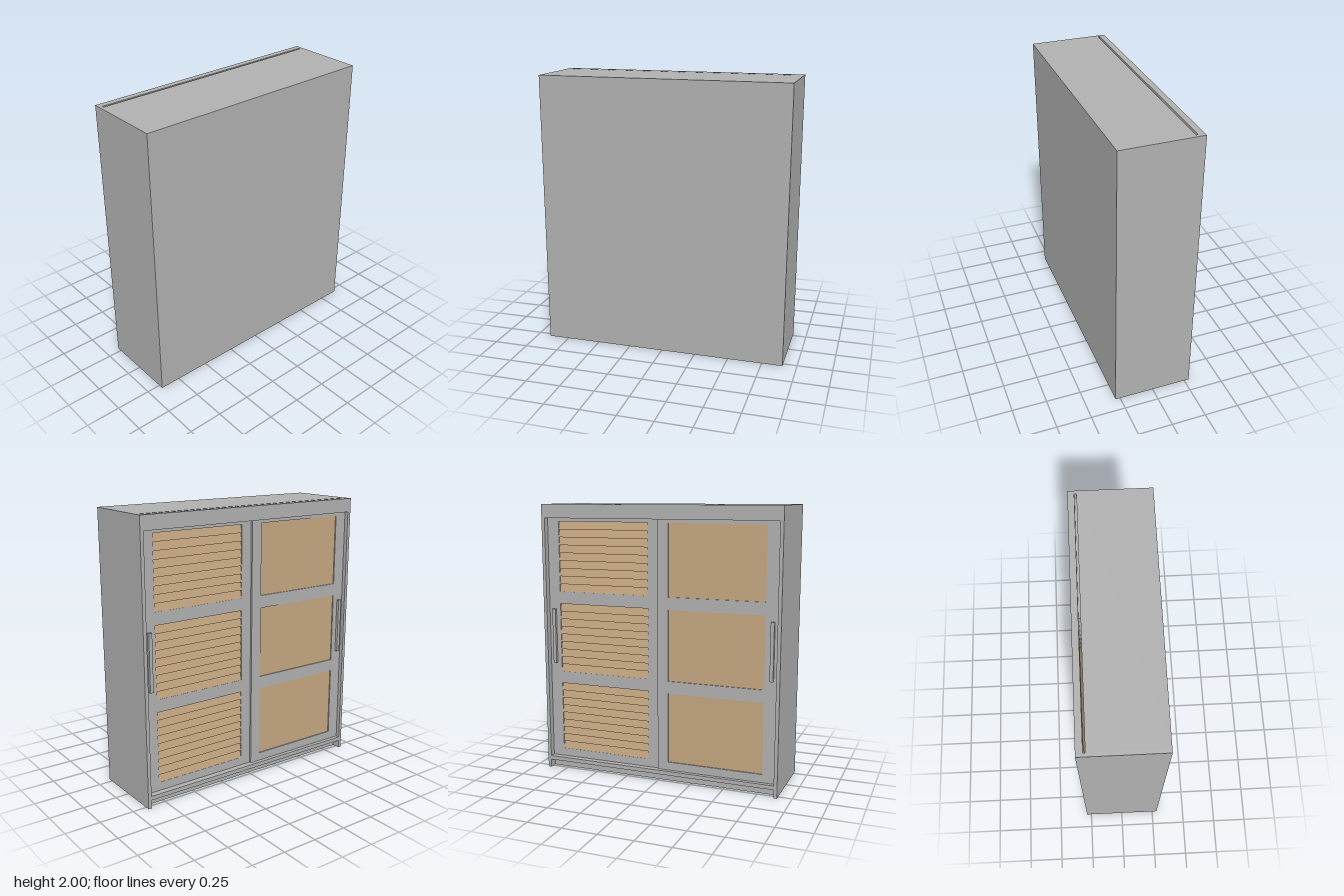
import * as THREE from 'three';

export function createModel() {
  const group = new THREE.Group();
  const grey = new THREE.MeshStandardMaterial({ color: 0xb0b0b0 });
  grey.name = 'grey';
  const wood = new THREE.MeshStandardMaterial({ color: 0xc4a680 });
  wood.name = 'wood';

  const add = (name, geo, mat, parent = group) => {
    const mesh = new THREE.Mesh(geo, mat);
    mesh.name = name;
    parent.add(mesh);
    return mesh;
  };
  // box given by its extents
  const box = (name, x0, x1, y0, y1, z0, z1, mat = grey, parent = group) => {
    const geo = new THREE.BoxGeometry(x1 - x0, y1 - y0, z1 - z0);
    geo.translate((x0 + x1) / 2, (y0 + y1) / 2, (z0 + z1) / 2);
    return add(name, geo, mat, parent);
  };

  // carcase: the doors are on the -z side
  box('cabinetBody', -0.875, 0.875, 0, 2, -0.225, 0.285);
  box('sidePanelLeft', 0.875, 0.9, 0, 2, -0.285, 0.285);
  box('sidePanelRight', -0.9, -0.875, 0, 2, -0.285, 0.285);
  box('topRail', -0.875, 0.875, 1.9, 2, -0.285, -0.24);
  box('bottomRail', -0.875, 0.875, 0.06, 0.09, -0.285, -0.24);

  // panel openings shared by both doors
  const openings = [0.15, 0.755, 1.36];
  const panelHeight = 0.515;

  // door frame with three openings
  const doorFrame = (x0, x1, y0, y1, z0, px0, px1, parent) => {
    const rect = (P, a, b, c, d) => {
      const p = new P();
      p.moveTo(a, c); p.lineTo(b, c); p.lineTo(b, d); p.lineTo(a, d); p.closePath();
      return p;
    };
    const shape = rect(THREE.Shape, x0, x1, y0, y1);
    for (const y of openings) shape.holes.push(rect(THREE.Path, px0, px1, y, y + panelHeight));
    const geo = new THREE.ExtrudeGeometry(shape, { depth: 0.015, bevelEnabled: false });
    geo.translate(0, 0, z0);
    add('doorFrame', geo, grey, parent);
  };

  // outer door with plain panels
  const plainDoor = new THREE.Group();
  plainDoor.name = 'plainDoor';
  group.add(plainDoor);
  doorFrame(-0.875, 0, 0.09, 1.9, -0.255, -0.785, -0.08, plainDoor);
  for (const y of openings)
    box('plainPanel', -0.785, -0.08, y, y + panelHeight, -0.247, -0.241, wood, plainDoor);
  box('handle', -0.85, -0.825, 0.82, 1.23, -0.275, -0.255, grey, plainDoor);

  // inner door with louvred panels
  const louvreDoor = new THREE.Group();
  louvreDoor.name = 'louvreDoor';
  group.add(louvreDoor);
  doorFrame(0, 0.875, 0.06, 1.95, -0.24, 0.08, 0.785, louvreDoor);
  const slats = 9;
  const pitch = panelHeight / slats;
  // wedge slat section in (z, y), widest at its lower edge
  const section = new THREE.Shape([
    new THREE.Vector2(0, 0), new THREE.Vector2(0.013, 0),
    new THREE.Vector2(0.002, pitch), new THREE.Vector2(0, pitch),
  ]);
  const slatGeo = new THREE.ExtrudeGeometry(section, { depth: 0.705, bevelEnabled: false });
  slatGeo.rotateY(Math.PI / 2); // section x -> -z, depth -> +x
  for (const y of openings)
    for (let i = 0; i < slats; i++)
      add('louvreSlat', slatGeo, wood, louvreDoor).position.set(0.08, y + i * pitch, -0.2255);
  box('handle', 0.82, 0.845, 0.82, 1.23, -0.26, -0.24, grey, louvreDoor);

  return group;
}
